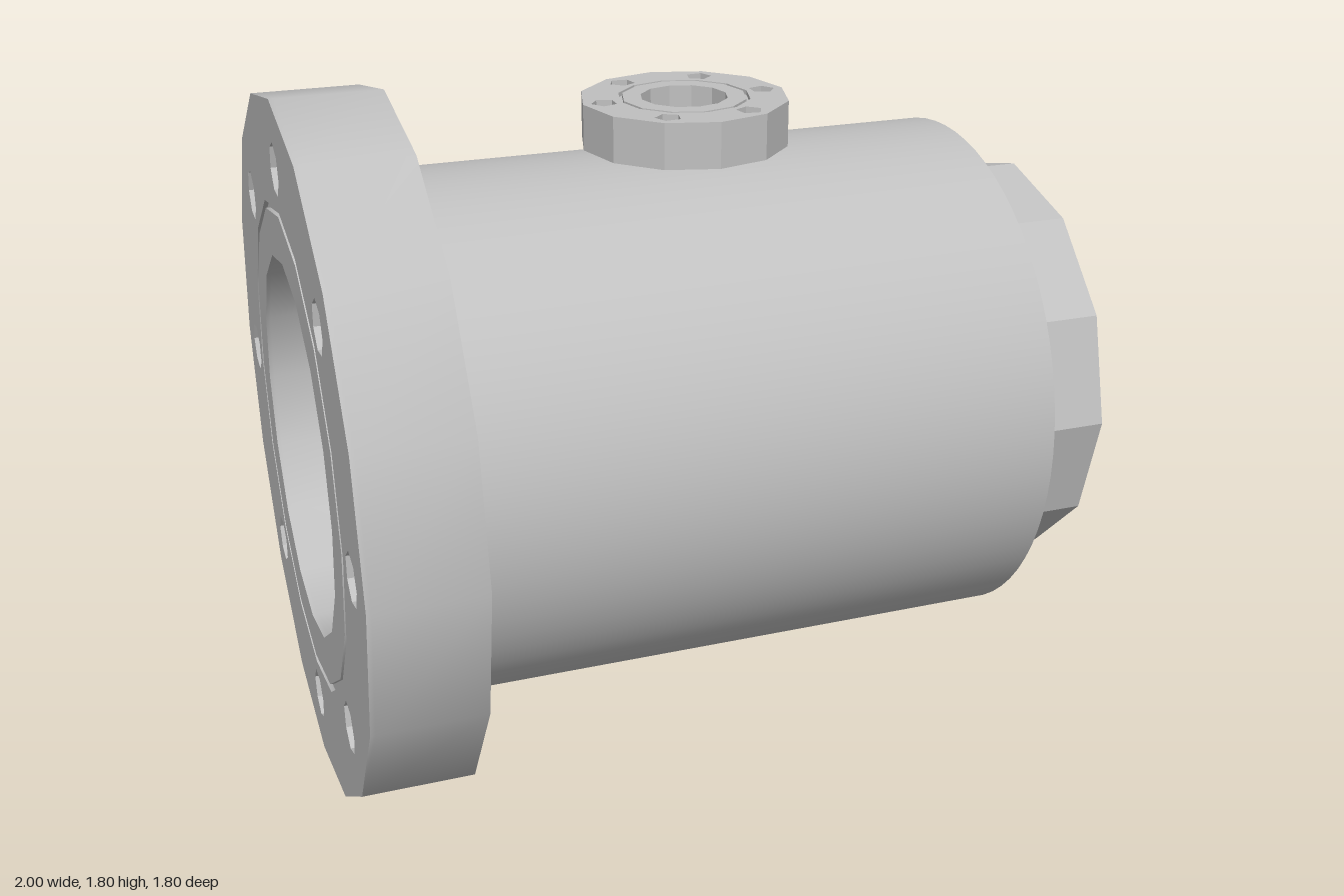
import * as THREE from 'three';
import { toCreasedNormals, mergeGeometries } from 'three/addons/utils/BufferGeometryUtils.js';

const AXIS_Y = 0.9;

// Points of a regular polygon, first corner at angle a0
function ngon(r, n, a0 = 0, cx = 0, cy = 0) {
  return Array.from({ length: n }, (_, i) => {
    const a = a0 + (i / n) * Math.PI * 2;
    return new THREE.Vector2(cx + r * Math.cos(a), cy + r * Math.sin(a));
  });
}

function plate(outer, holes, z, depth) {
  const shape = new THREE.Shape(outer);
  holes.forEach((h) => shape.holes.push(new THREE.Path(h)));
  return new THREE.ExtrudeGeometry(shape, { depth, bevelEnabled: false }).translate(0, 0, z);
}

// Faceted flange along +z: back plate, then a drilled outer face and an inner land split by a groove
function flangeGeometry({ r, sides, bore, groove, depth, bolts, boltCircle, boltR, boltSides, boltStart }) {
  const drilled = [];
  for (let i = 0; i < bolts; i++) {
    const a = boltStart + (i / bolts) * Math.PI * 2;
    drilled.push(ngon(boltR, boltSides, a, boltCircle * Math.cos(a), boltCircle * Math.sin(a)));
  }
  const step = 0.012;
  const base = depth - step;
  const parts = [
    plate(ngon(r, sides), [ngon(bore, sides), ...drilled], 0, base),
    plate(ngon(r, sides), [ngon(groove[1], sides), ...drilled], base, step),
    plate(ngon(groove[0], sides), [ngon(bore, sides)], base, step),
  ];
  return toCreasedNormals(mergeGeometries(parts), 0.45);
}

// Surface turned about the x axis from [x, radius] pairs
function turned(profile, segments) {
  const pts = profile.map(([x, r]) => new THREE.Vector2(r, x));
  return toCreasedNormals(new THREE.LatheGeometry(pts, segments).rotateZ(-Math.PI / 2), 0.5);
}

export function createModel() {
  const group = new THREE.Group();
  const steel = new THREE.MeshStandardMaterial({ color: 0xc0c0c0 });
  steel.name = 'grey steel';

  const add = (name, geometry, x, y) => {
    const mesh = new THREE.Mesh(geometry, steel);
    mesh.name = name;
    mesh.position.set(x, y, 0);
    group.add(mesh);
  };

  // Hollow barrel with a shallow counterbore at each end
  add('barrel', turned([
    [-0.705, 0.605], [-0.705, 0.677], [0.782, 0.677], [0.782, 0.605],
    [0.68, 0.605], [0.68, 0.585], [-0.6, 0.585], [-0.6, 0.605], [-0.705, 0.605],
  ], 72), 0, AXIS_Y);

  // Internal partition with a small centre hole
  add('partition', turned([
    [-0.02, 0.016], [-0.02, 0.59], [0.02, 0.59], [0.02, 0.016], [-0.02, 0.016],
  ], 48), 0.03, AXIS_Y);

  // Large end flange
  add('largeFlange', flangeGeometry({
    r: 0.9, sides: 16, bore: 0.49, groove: [0.61, 0.63], depth: 0.275,
    bolts: 8, boltCircle: 0.73, boltR: 0.066, boltSides: 7, boltStart: 0,
  }).rotateY(-Math.PI / 2), -0.725, AXIS_Y);

  // Small end flange
  add('smallFlange', flangeGeometry({
    r: 0.55, sides: 12, bore: 0.3, groove: [0.365, 0.378], depth: 0.2,
    bolts: 6, boltCircle: 0.462, boltR: 0.054, boltSides: 5, boltStart: Math.PI / 2,
  }).rotateY(Math.PI / 2), 0.8, AXIS_Y);

  // Top port flange
  add('topPortFlange', flangeGeometry({
    r: 0.267, sides: 12, bore: 0.112, groove: [0.16, 0.17], depth: 0.117,
    bolts: 6, boltCircle: 0.212, boltR: 0.034, boltSides: 5, boltStart: 0,
  }).rotateX(-Math.PI / 2), 0.037, 1.603);

  return group;
}
